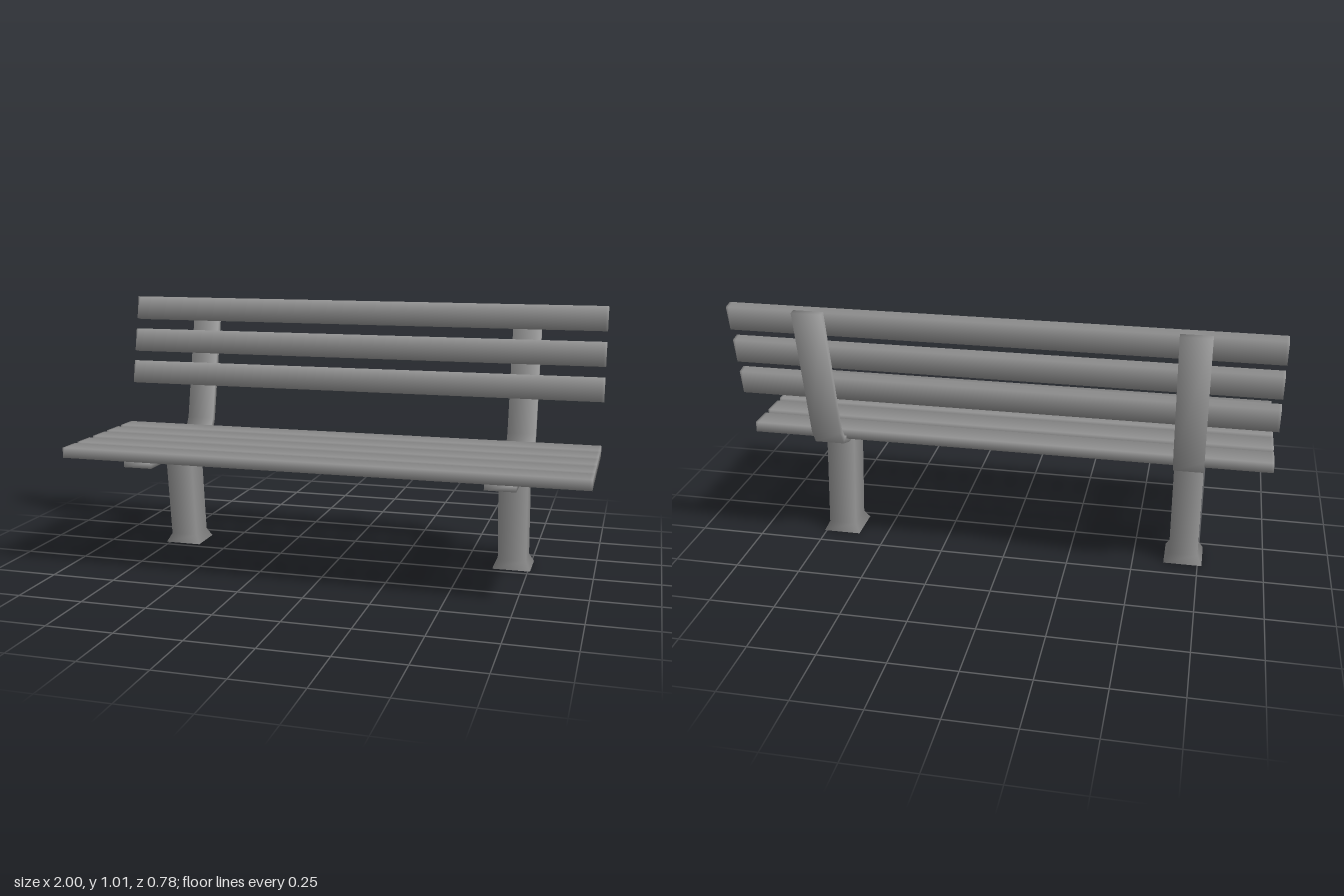
import * as THREE from 'three';

const material = new THREE.MeshStandardMaterial({ color: 0x999999 });

function addMesh(parent, name, geometry) {
  const mesh = new THREE.Mesh(geometry, material);
  mesh.name = name;
  parent.add(mesh);
  return mesh;
}

// Four-sided bar swept through stations [lower (z, y), upper (z, y)],
// with its shading rounded over every edge
function softBar(width, stations) {
  const last = stations.length - 1;
  const g = new THREE.BoxGeometry(width, 1, 1, 1, 1, last);
  const p = g.attributes.position;
  const normal = new THREE.Vector3();
  for (let i = 0; i < p.count; i++) {
    const k = Math.round((p.getZ(i) + 0.5) * last);
    const [lower, upper] = stations[k];
    const sideX = Math.sign(p.getX(i));
    const sideY = Math.sign(p.getY(i));
    const end = k === 0 ? -1 : k === last ? 1 : 0;
    const up = new THREE.Vector2(upper[0] - lower[0], upper[1] - lower[1]).normalize();
    normal.set(sideX, sideY * up.y - end * up.x, sideY * up.x + end * up.y).normalize();
    const [z, y] = sideY > 0 ? upper : lower;
    p.setXYZ(i, p.getX(i), y, z);
    g.attributes.normal.setXYZ(i, normal.x, normal.y, normal.z);
  }
  return g;
}

// Full-width plank
function slatGeometry(height, depth) {
  const stations = [-1, -0.99, 0.99, 1].map((z) => [[z, -height / 2], [z, height / 2]]);
  return softBar(depth, stations).rotateY(Math.PI / 2);
}

// Bent strap that carries the seat and the backrest, from its top to its front
function bracketGeometry(width) {
  return softBar(width, [
    [[-0.388, 1.003], [-0.362, 1.006]],
    [[-0.274, 0.489], [-0.252, 0.5]],
    [[-0.242, 0.433], [-0.223, 0.455]],
    [[-0.18, 0.412], [-0.157, 0.436]],
    [[0.377, 0.412], [0.377, 0.436]],
  ]);
}

// Leaning square post with a flared foot, shaded round
function legGeometry() {
  const sections = [ // from the ground up
    { y: 0, z: -0.102, width: 0.147 },
    { y: 0.035, z: -0.102, width: 0.11 },
    { y: 0.415, z: -0.06, width: 0.112 },
  ];
  const g = new THREE.CylinderGeometry(Math.SQRT1_2, Math.SQRT1_2, 2, 4, 2);
  g.rotateY(Math.PI / 4);
  const p = g.attributes.position;
  for (let i = 0; i < p.count; i++) {
    const s = sections[Math.round(p.getY(i)) + 1];
    p.setXYZ(i, p.getX(i) * s.width, s.y, s.z + p.getZ(i) * s.width);
  }
  return g;
}

export function createModel() {
  const bench = new THREE.Group();
  bench.name = 'bench';

  // Seat slats
  const seat = new THREE.Group();
  seat.name = 'seat';
  bench.add(seat);
  const seatSlat = slatGeometry(0.04, 0.096);
  [0.342, 0.223, 0.095, -0.029, -0.157].forEach((z, i) => {
    addMesh(seat, `seatSlat${i + 1}`, seatSlat).position.set(0, 0.457, z);
  });

  // Backrest slats, tilted along the strap
  const backrest = new THREE.Group();
  backrest.name = 'backrest';
  bench.add(backrest);
  const backSlat = slatGeometry(0.095, 0.038);
  [[0.686, -0.273], [0.822, -0.302], [0.959, -0.332]].forEach(([y, z], i) => {
    const slat = addMesh(backrest, `backSlat${i + 1}`, backSlat);
    slat.position.set(0, y, z);
    slat.rotation.x = -0.205;
  });

  // Two supports
  const bracket = bracketGeometry(0.113);
  const leg = legGeometry();
  for (const [side, x] of [['left', 0.685], ['right', -0.693]]) {
    const support = new THREE.Group();
    support.name = `${side}Support`;
    support.position.x = x;
    addMesh(support, `${side}Bracket`, bracket);
    addMesh(support, `${side}Leg`, leg);
    bench.add(support);
  }
  return bench;
}
